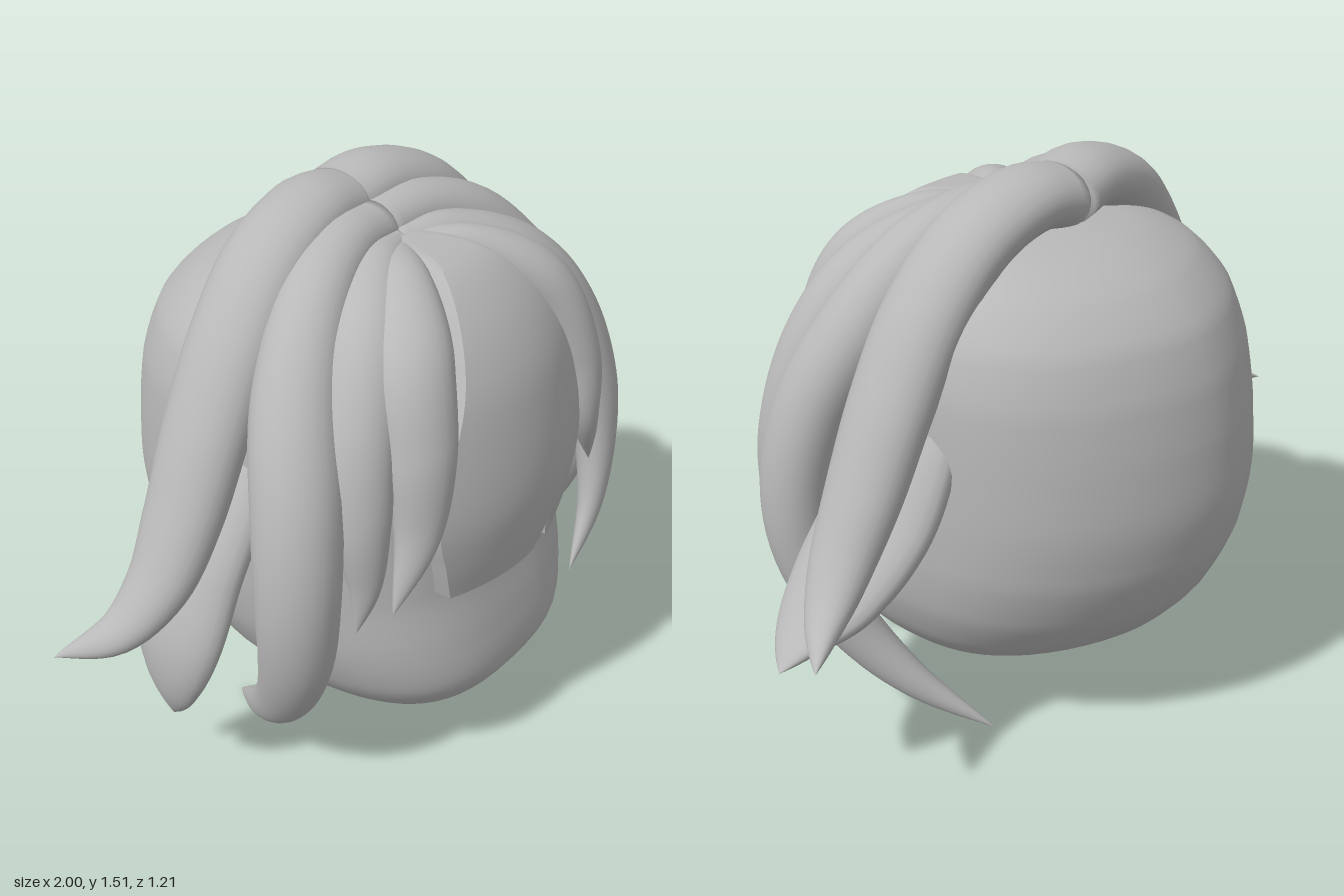
import * as THREE from 'three';
import { toCreasedNormals } from 'three/addons/utils/BufferGeometryUtils.js';

const grey = new THREE.MeshStandardMaterial({ color: 0xb8b8b8, side: THREE.DoubleSide });
grey.name = 'plain grey';

const V = (x, y, z) => new THREE.Vector3(x, y, z);
const spline = (pts) => new THREE.CatmullRomCurve3(pts.map((p) => V(...p)));

// Skins a list of closed rings that all have the same number of points
function loft(rings) {
  const n = rings[0].length;
  const index = [];
  for (let i = 0; i < rings.length - 1; i++) {
    for (let j = 0; j < n; j++) {
      const a = i * n + j, b = i * n + (j + 1) % n;
      index.push(a, a + n, b, b, a + n, b + n);
    }
  }
  const geo = new THREE.BufferGeometry().setFromPoints(rings.flat());
  geo.setIndex(index);
  geo.computeVertexNormals();
  return geo;
}

function part(name, geo) {
  const mesh = new THREE.Mesh(geo, grey);
  mesh.name = name;
  return mesh;
}

// Head mass: superellipse sections from bottom to top, each [half width, front z, back z]
function headGeometry() {
  const shape = spline([
    [0, 0.16, 0.16], [0.21, 0.39, -0.06], [0.36, 0.51, -0.26], [0.445, 0.565, -0.41], [0.5, 0.55, -0.515],
    [0.525, 0.515, -0.58], [0.532, 0.5, -0.603], [0.532, 0.49, -0.59], [0.525, 0.47, -0.56],
    [0.49, 0.42, -0.505], [0.41, 0.33, -0.4], [0.26, 0.18, -0.25], [0, -0.05, -0.05],
  ]);
  const rings = [];
  for (let i = 0; i <= 72; i++) {
    const s = shape.getPoint(i / 72), y = 0.725 - 0.62 * Math.cos((i / 72) * Math.PI);
    const mid = (s.y + s.z) / 2, depth = (s.y - s.z) / 2;
    rings.push(Array.from({ length: 64 }, (_, j) => {
      const a = (j / 64) * Math.PI * 2, c = Math.cos(a), d = Math.sin(a);
      const e = 2 / (2.25 + 0.4 * d);
      return V(Math.sign(c) * Math.abs(c) ** e * s.x, y, mid + Math.sign(d) * Math.abs(d) ** e * depth);
    }));
  }
  return loft(rings);
}

// Hair lock: flattened oval swept along a path, tapering to a point.
// w and t are half width and half thickness, root is the scale at the start.
function lockGeometry(pts, { w, t, root, power }) {
  const path = spline(pts);
  const rings = [];
  const steps = 56;
  for (let i = -1; i <= steps; i++) {
    const k = Math.max(i, 0) / steps;
    const p = path.getPointAt(k), T = path.getTangentAt(k);
    const N = p.clone().addScaledVector(T, -p.dot(T)).normalize();
    const B = T.clone().cross(N);
    const size = i < 0 ? 0 : (root + (1 - root) * THREE.MathUtils.smoothstep(k, 0, 0.4)) * (1 - k ** power);
    rings.push(Array.from({ length: 24 }, (_, j) => {
      const a = (j / 24) * Math.PI * 2;
      return p.clone().addScaledVector(B, Math.cos(a) * w * size).addScaledVector(N, Math.sin(a) * t * size);
    }));
  }
  return loft(rings);
}

// Central fringe: curved fan with a small notch in its lower edge
function fringeGeometry() {
  const shape = spline([ // half width, height, z
    [0.02, 1.385, 0.17], [0.09, 1.365, 0.34], [0.15, 1.28, 0.45], [0.21, 1.15, 0.535],
    [0.27, 1.0, 0.58], [0.315, 0.82, 0.605], [0.285, 0.7, 0.595], [0.25, 0.6, 0.575],
  ]);
  const notch = 0.37;
  const us = [-0.12, -0.09, -0.06, -0.04, -0.02, 0, 0.02, 0.04, 0.07, 0.1, 0.13].map((d) => notch + d);
  for (let i = 0; i <= 20; i++) us.push(-1 + i / 10 + 0.001);
  us.sort((a, b) => a - b);
  const hem = (u) => 0.595 + 0.11 * Math.sqrt(Math.max(0, 1 - Math.abs(u - notch) / 0.13));
  const rows = 48, rings = [];
  for (let i = 0; i <= rows; i++) {
    const s = shape.getPoint(i / rows);
    const point = (u, inset) => {
      const x = u * s.x;
      return V(x - 0.03 * (i / rows) ** 2, Math.max(s.y, hem(u)), s.z - 0.85 * x * x - inset);
    };
    rings.push([...us.map((u) => point(u, 0)), ...us.slice().reverse().map((u) => point(u, 0.045))]);
  }
  // Close the hem by folding the last ring onto its back edge
  const last = rings[rows];
  rings.push(last.map((p, j) => last[Math.max(j, last.length - 1 - j)].clone()));
  return toCreasedNormals(loft(rings), 0.8);
}

export function createModel() {
  const group = new THREE.Group();
  group.name = 'hairstyle';
  group.add(part('head', headGeometry()), part('centralFringe', fringeGeometry()));

  // Locks that match on both sides
  const paired = {
    OuterLock: [[
      [0, 1.41, -0.06], [0.12, 1.425, -0.05], [0.3, 1.365, -0.03], [0.45, 1.22, -0.01], [0.57, 1.03, 0],
      [0.67, 0.84, 0.005], [0.765, 0.69, 0], [0.87, 0.59, -0.04], [1.0, 0.55, -0.13],
    ], { w: 0.12, t: 0.085, root: 0.95, power: 5.5 }],
    SideLock: [[
      [0, 1.37, 0.06], [0.15, 1.375, 0.08], [0.32, 1.31, 0.13], [0.47, 1.14, 0.2], [0.57, 0.92, 0.28],
      [0.61, 0.7, 0.31], [0.6, 0.5, 0.29], [0.545, 0.3, 0.2], [0.47, 0.14, 0.06], [0.36, 0, -0.13],
    ], { w: 0.115, t: 0.1, root: 0.7, power: 4 }],
  };
  for (const [name, [pts, size]] of Object.entries(paired)) {
    for (const [side, m] of [['left', 1], ['right', -1]]) {
      group.add(part(side + name, lockGeometry(pts.map(([x, y, z]) => [m * x, y, z]), size)));
    }
  }

  // Locks that differ from side to side
  const single = {
    leftLowerLock: [[
      [0.4, 1.04, 0.04], [0.51, 0.88, 0.03], [0.6, 0.72, 0.035], [0.71, 0.59, 0.06], [0.82, 0.5, 0.07], [0.95, 0.445, 0.05],
    ], { w: 0.18, t: 0.075, root: 0.9, power: 5 }],
    rightLowerLock: [[
      [-0.4, 0.98, -0.01], [-0.55, 0.82, -0.01], [-0.66, 0.67, 0], [-0.73, 0.52, 0.02], [-0.75, 0.38, 0.01], [-0.73, 0.24, -0.02],
    ], { w: 0.165, t: 0.075, root: 0.9, power: 4 }],
    leftFrontLock: [[
      [0, 1.35, 0.13], [0.14, 1.35, 0.18], [0.32, 1.26, 0.28], [0.45, 1.08, 0.36], [0.52, 0.85, 0.42],
      [0.53, 0.65, 0.45], [0.48, 0.45, 0.48], [0.36, 0.29, 0.5],
    ], { w: 0.1, t: 0.08, root: 0.5, power: 4 }],
    rightFrontLock: [[
      [0, 1.35, 0.13], [-0.14, 1.35, 0.18], [-0.3, 1.26, 0.27], [-0.42, 1.08, 0.34], [-0.47, 0.88, 0.39],
      [-0.48, 0.7, 0.41], [-0.5, 0.57, 0.4],
    ], { w: 0.1, t: 0.075, root: 0.5, power: 4 }],
    leftFringeLock: [[
      [0.01, 1.35, 0.14], [0.13, 1.34, 0.26], [0.265, 1.22, 0.4], [0.325, 1.02, 0.48], [0.34, 0.83, 0.51], [0.41, 0.65, 0.5],
    ], { w: 0.08, t: 0.075, root: 0.4, power: 3.5 }],
    rightFringeLock: [[
      [-0.01, 1.35, 0.14], [-0.14, 1.34, 0.26], [-0.28, 1.21, 0.39], [-0.335, 1.03, 0.46], [-0.375, 0.83, 0.485], [-0.46, 0.64, 0.48],
    ], { w: 0.105, t: 0.075, root: 0.4, power: 3.5 }],
  };
  for (const [name, [pts, size]] of Object.entries(single)) group.add(part(name, lockGeometry(pts, size)));
  return group;
}
